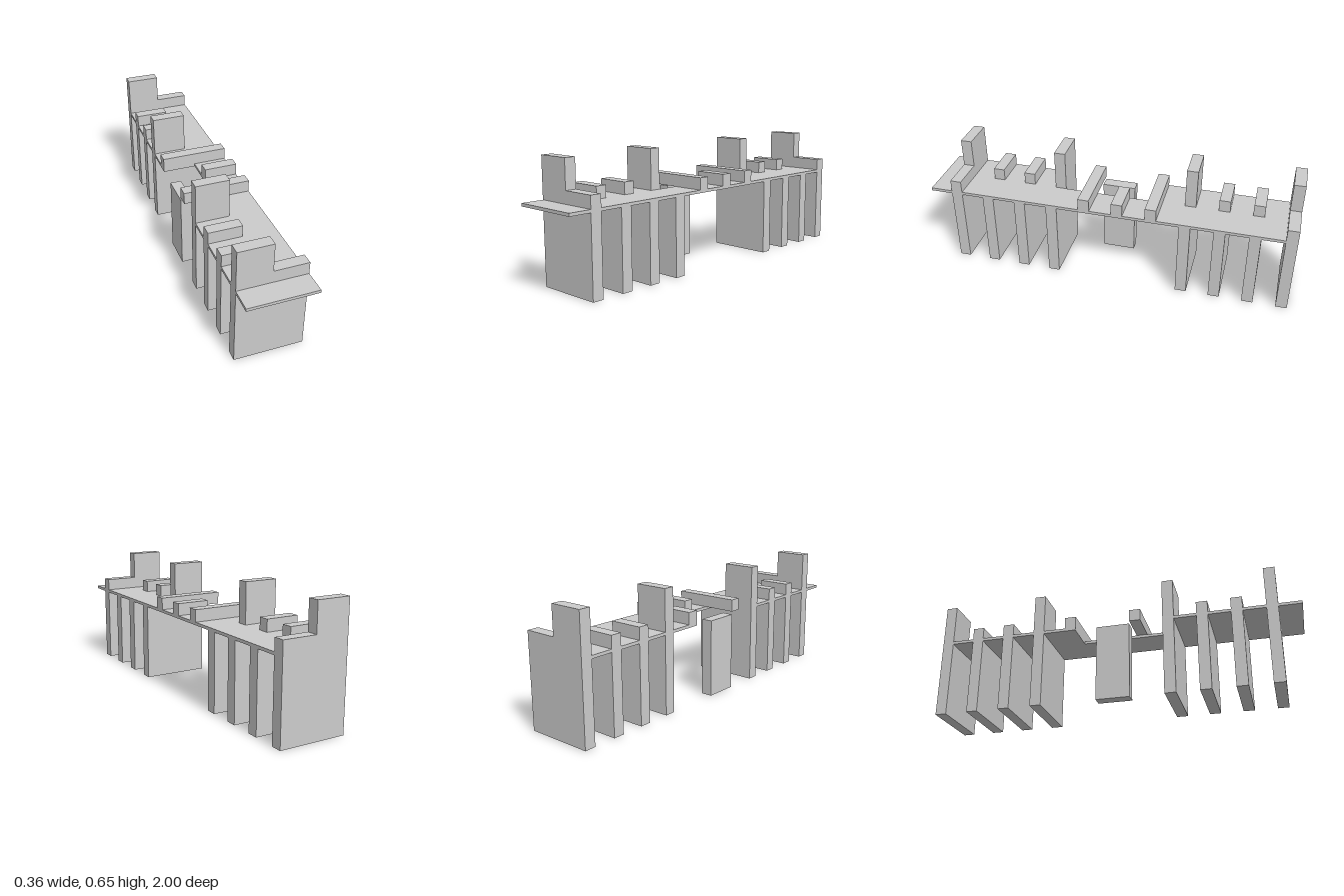
import * as THREE from 'three';

const U = 2 / 33;            // thickness of every panel and bar
const W = 3 * U;             // half width
const DECK_LOW = 0.42, DECK_TOP = 0.436, RAIL_TOP = 0.501, TALL = 0.655;
const DECK_MID = (DECK_LOW + DECK_TOP) / 2;

export function createModel() {
  const group = new THREE.Group();
  const material = new THREE.MeshStandardMaterial({ color: 0xcccccc, flatShading: true });

  const add = (name, geometry) => {
    const mesh = new THREE.Mesh(geometry, material);
    mesh.name = name;
    group.add(mesh);
    return mesh;
  };

  const outline = (points) => new THREE.Shape(points.map(([x, y]) => new THREE.Vector2(x, y)));

  const box = (name, x0, x1, y0, y1, z0, z1) =>
    add(name, new THREE.BoxGeometry(x1 - x0, y1 - y0, z1 - z0))
      .position.set((x0 + x1) / 2, (y0 + y1) / 2, (z0 + z1) / 2);

  // Thin deck with a notch on the right side (shape y becomes -z)
  const notchFront = 4.5 * U, notchBack = -3.5 * U;
  const deck = add('deck', new THREE.ExtrudeGeometry(outline([
    [-W, -1], [W, -1], [W, 1], [-W, 1],
    [-W, -notchBack], [0, -notchBack], [0, -notchFront], [-W, -notchFront],
  ]), { depth: DECK_TOP - DECK_LOW, bevelEnabled: false }));
  deck.rotation.x = -Math.PI / 2;
  deck.position.y = DECK_LOW;

  // Cross panels: full width under the deck, stepped to half width above it
  const panel = (name, slot, shoulder, top) => {
    add(name, new THREE.ExtrudeGeometry(outline([
      [-W, 0], [W, 0], [W, shoulder], [0, shoulder], [0, top], [-W, top],
    ]), { depth: U, bevelEnabled: false })).position.z = (slot - 0.5) * U;
  };
  for (const slot of [14, -16]) panel('endPanel', slot, RAIL_TOP, TALL);
  for (const slot of [5, -7]) panel('tallPanel', slot, DECK_MID, TALL);
  for (const slot of [11, 8, -10, -13]) panel('lowPanel', slot, DECK_MID, RAIL_TOP);

  // Bars lying on the deck around the notch
  const bar = (name, slot, x0) =>
    box(name, x0, W, DECK_TOP, RAIL_TOP, (slot - 0.5) * U, (slot + 0.5) * U);
  bar('frontCrossBar', 2, -W);
  bar('shortBar', -1, 0);
  bar('rearCrossBar', -4, -W);

  // Free-standing post beside the notch
  box('post', -W, -W + U, 0, DECK_LOW, -1.5 * U, 1.5 * U);

  return group;
}
